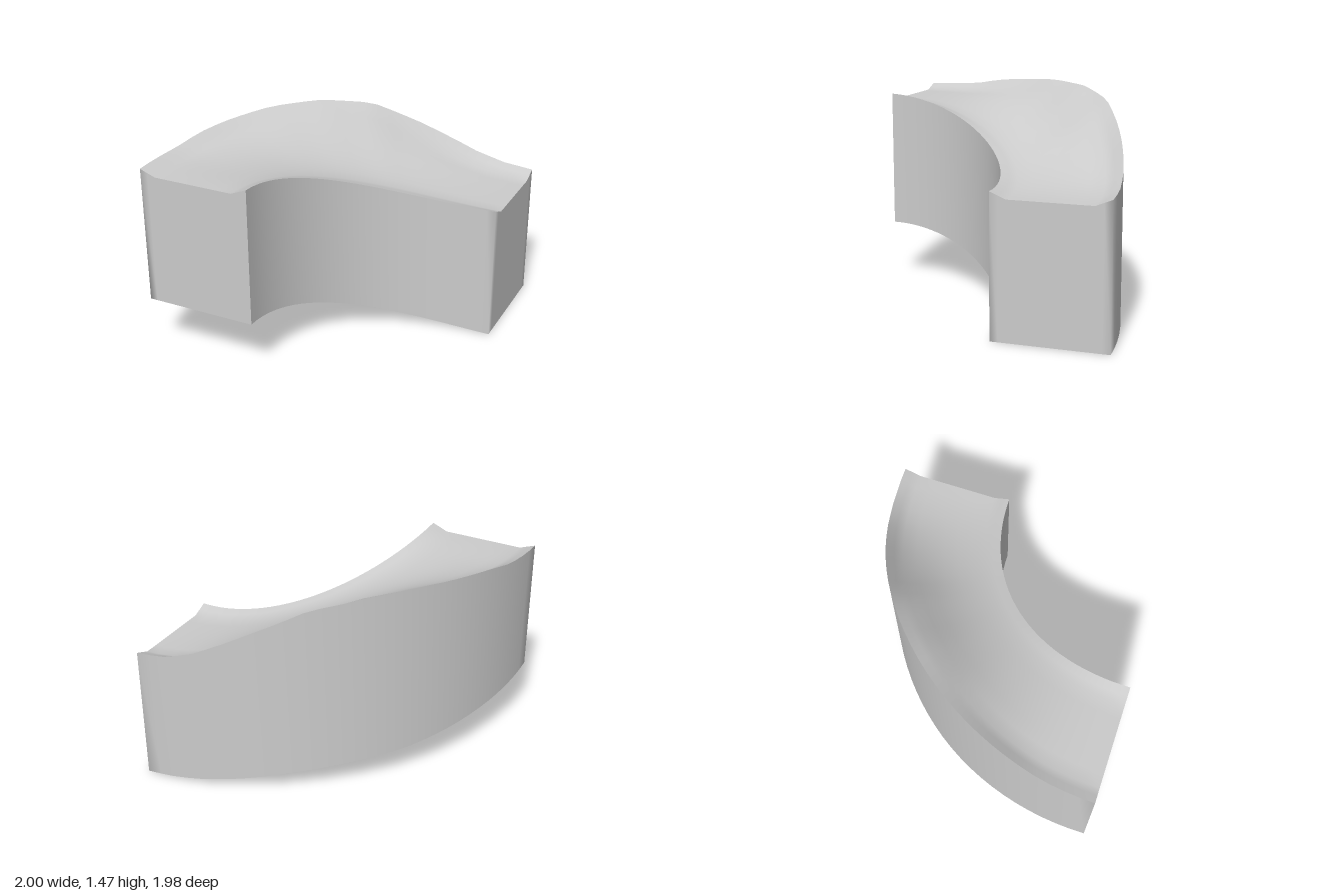
import * as THREE from 'three';

const SEG = 30;                                   // steps along the quarter turn
const ACROSS = [0, 0.07, 0.14, 0.26, 0.38, 0.5, 0.62, 0.74, 0.86, 0.93, 1]; // inner to outer

// Piecewise linear lookup in [position, value] pairs
function lookup(pairs, p) {
  for (let i = 1; i < pairs.length; i++) {
    const [a, va] = pairs[i - 1], [b, vb] = pairs[i];
    if (p <= b) return va + (vb - va) * (p - a) / (b - a);
  }
  return pairs[pairs.length - 1][1];
}

// Edge heights by angle in degrees, from the high end (0) to the low end (90)
const OUTER_TOP = [[0, 1.365], [11, 1.382], [17, 1.42], [23, 1.442], [34, 1.468], [45, 1.46],
  [56, 1.405], [66, 1.25], [72.5, 1.14], [78.5, 1.04], [84.3, 0.98], [90, 0.96]];
const OUTER_BOTTOM = [[0, 0.41], [12, 0.36], [20, 0.325], [26, 0.295], [37, 0.245], [45.6, 0.222],
  [53, 0.195], [60, 0.16], [66.4, 0.12], [72.5, 0.08], [78.5, 0.045], [84.3, 0.018], [90, 0]];
// Deck rise from trough (0) to outer rim (1): level at the ends, banked in mid-turn
const LEVEL = [[0, 0], [0.86, 0], [1, 1]];
const BANKED = [[0, 0], [0.14, 0.01], [0.26, 0.05], [0.38, 0.13], [0.5, 0.25], [0.62, 0.41],
  [0.74, 0.61], [0.86, 0.82], [1, 1]];

const innerBottom = (s) => 0.41 * (1 - s * s * (3 - 2 * s));

// Point on the plan: s along the turn, w across it
function plan(s, w, y) {
  const t = s * Math.PI / 2, r = 1.22 + 0.78 * w;
  return new THREE.Vector3(1 - r * Math.cos(t), y, 0.985 - (r - 0.025) * Math.sin(t));
}

function deckPoint(s, w) {
  const trough = innerBottom(s) + 0.915;
  const bank = Math.sin(Math.PI * s);
  const rise = THREE.MathUtils.lerp(lookup(LEVEL, w), lookup(BANKED, w), bank);
  const innerRim = 0.045 * (1 - 0.6 * bank) * Math.max(0, 1 - w / 0.14);
  return plan(s, w, trough + innerRim + (lookup(OUTER_TOP, s * 90) - trough) * rise);
}

function bottomPoint(s, w) {
  return plan(s, w, THREE.MathUtils.lerp(innerBottom(s), lookup(OUTER_BOTTOM, s * 90), w));
}

// Skin a grid of point rows
function skin(rows, name) {
  const n = rows[0].length, index = [];
  for (let i = 0; i < rows.length - 1; i++) {
    for (let j = 0; j < n - 1; j++) {
      const a = i * n + j, b = a + 1, c = a + n, d = c + 1;
      index.push(a, b, c, b, d, c);
    }
  }
  const geometry = new THREE.BufferGeometry().setFromPoints(rows.flat());
  geometry.setIndex(index);
  geometry.computeVertexNormals();
  const material = new THREE.MeshStandardMaterial({ color: 0xcccccc, side: THREE.DoubleSide });
  const mesh = new THREE.Mesh(geometry, material);
  mesh.name = name;
  return mesh;
}

export function createModel() {
  const group = new THREE.Group();
  group.name = 'bankedTrackCurve';
  const steps = Array.from({ length: SEG + 1 }, (_, i) => i / SEG);

  // Banked running surface
  group.add(skin(steps.map((s) => ACROSS.map((w) => deckPoint(s, w))), 'deck'));

  // Walls follow the edge of the deck; the underside stays open
  const back = [...steps].reverse(), acrossBack = [...ACROSS].reverse();
  const loop = [
    ...steps.map((s) => [s, 0]),
    ...ACROSS.slice(1).map((w) => [1, w]),
    ...back.slice(1).map((s) => [s, 1]),
    ...acrossBack.slice(1).map((w) => [0, w]),
  ];
  const top = loop.map(([s, w]) => deckPoint(s, w));
  const bottom = loop.map(([s, w]) => bottomPoint(s, w));
  group.add(skin([top, bottom].reverse(), 'walls'));

  return group;
}
